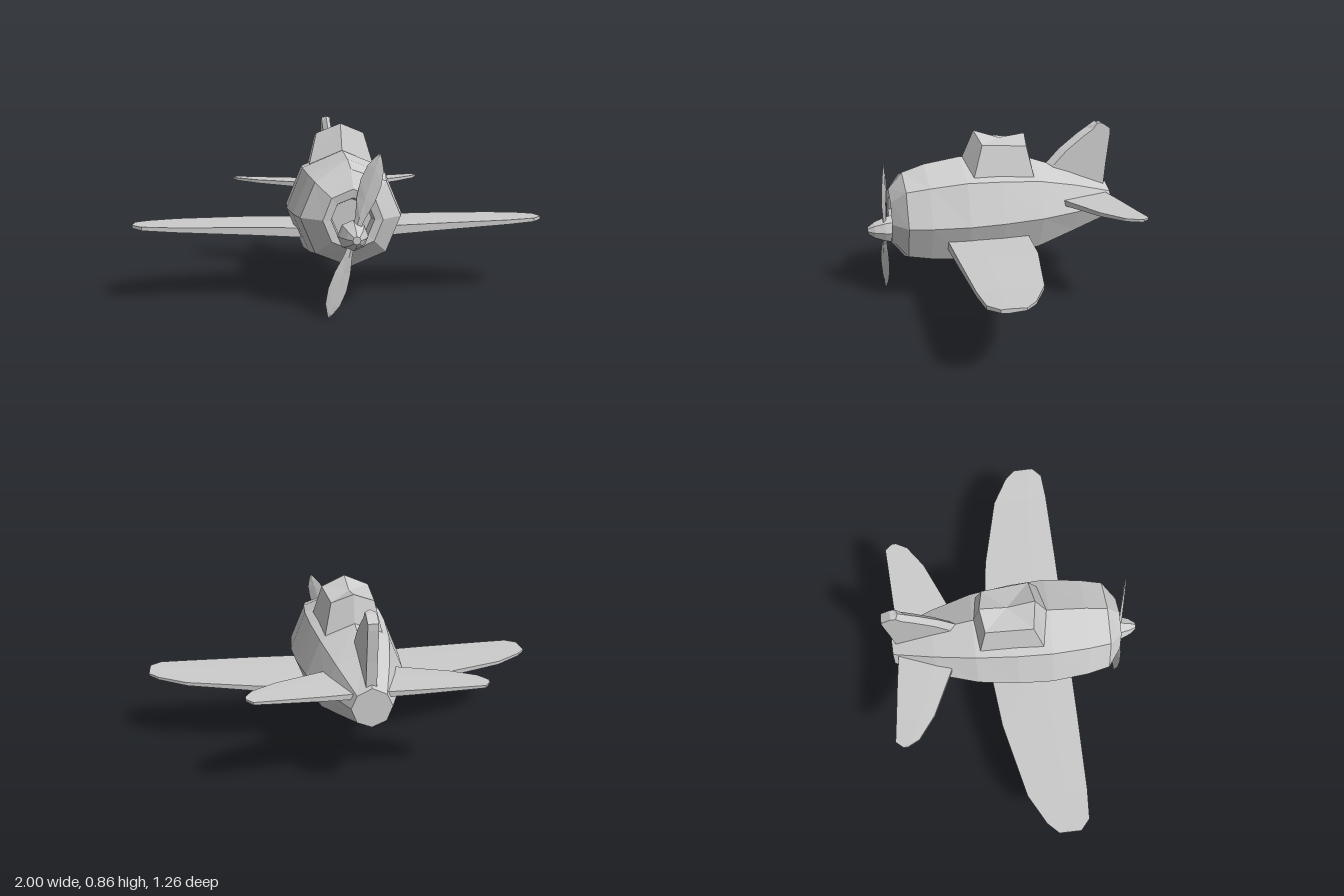
import * as THREE from 'three';

const material = new THREE.MeshStandardMaterial({ color: 0xcccccc, flatShading: true });

// Skins a row of equal-length point rings and closes both ends with fans
function loft(name, rings) {
  const pos = [];
  const n = rings[0].length;
  const tri = (a, b, c) => pos.push(...a, ...b, ...c);
  for (let i = 0; i < rings.length - 1; i++) {
    for (let j = 0; j < n; j++) {
      const k = (j + 1) % n;
      const a = rings[i][j], b = rings[i][k], c = rings[i + 1][k], d = rings[i + 1][j];
      tri(a, b, c);
      tri(a, c, d);
    }
  }
  const cap = (ring, flip) => {
    const mid = [0, 1, 2].map((q) => ring.reduce((s, p) => s + p[q], 0) / n);
    ring.forEach((p, j) => {
      const r = ring[(j + 1) % n];
      if (flip) tri(mid, r, p);
      else tri(mid, p, r);
    });
  };
  cap(rings[0], true);
  cap(rings[rings.length - 1], false);

  // A negative enclosed volume means the faces point inward: swap two corners
  let volume = 0;
  const v = [0, 3, 6].map(() => new THREE.Vector3());
  for (let i = 0; i < pos.length; i += 9) {
    v.forEach((p, k) => p.fromArray(pos, i + k * 3));
    volume += v[0].dot(v[1].clone().cross(v[2]));
  }
  if (volume < 0) {
    for (let i = 0; i < pos.length; i += 9) {
      for (let q = 3; q < 6; q++) [pos[i + q], pos[i + q + 3]] = [pos[i + q + 3], pos[i + q]];
    }
  }
  const geometry = new THREE.BufferGeometry();
  geometry.setAttribute('position', new THREE.Float32BufferAttribute(pos, 3));
  geometry.computeVertexNormals();
  const mesh = new THREE.Mesh(geometry, material);
  mesh.name = name;
  return mesh;
}

// Eight-sided body section with points at top, bottom and both sides
function bodyRing([z, top, shoulder, mid, low, bottom, w, sw]) {
  return [[0, top, z], [sw, shoulder, z], [w, mid, z], [sw, low, z],
    [0, bottom, z], [-sw, low, z], [-w, mid, z], [-sw, shoulder, z]];
}

// Flat lifting surface; each station is [x, zFront, zBack, yTop, yBottom]
function surface(name, side, stations, belly) {
  return loft(name, stations.map(([x, zf, zb, top, bot]) => {
    const X = x * side, zm = zf + (zb - zf) * 0.35, t = (top - bot) * belly;
    return [[X, top, zf], [X, top, zm], [X, top - t, zb],
      [X, bot + t, zb], [X, bot, zm], [X, bot + t, zf]];
  }));
}

export function createModel() {
  const model = new THREE.Group();
  model.name = 'airplane';

  // Fuselage, starting with the recessed air intake in the nose
  const sections = [
    [0.47, 0.525, 0.50, 0.437, 0.375, 0.35, 0.09, 0.063],
    [0.515, 0.535, 0.508, 0.437, 0.368, 0.34, 0.098, 0.069],
    [0.52, 0.575, 0.535, 0.437, 0.34, 0.30, 0.135, 0.096],
    [0.45, 0.655, 0.60, 0.44, 0.275, 0.21, 0.23, 0.162],
    [0.34, 0.69, 0.617, 0.44, 0.26, 0.185, 0.255, 0.18],
    [0.16, 0.717, 0.635, 0.44, 0.245, 0.165, 0.273, 0.195],
    [-0.01, 0.708, 0.628, 0.44, 0.25, 0.175, 0.265, 0.188],
    [-0.21, 0.683, 0.61, 0.44, 0.27, 0.20, 0.238, 0.167],
    [-0.41, 0.613, 0.563, 0.44, 0.322, 0.255, 0.178, 0.124],
    [-0.62, 0.53, 0.498, 0.44, 0.372, 0.345, 0.093, 0.066],
  ];
  model.add(loft('fuselage', sections.map(bodyRing)));

  // Canopy with a ridged roof
  const canopyRing = (fy, fz, sx, sy, sz, rx, ry, rz, by, bz) =>
    [[0, fy, fz], [sx, sy, sz], [rx, ry, rz], [0, by, bz], [-rx, ry, rz], [-sx, sy, sz]];
  model.add(loft('canopy', [
    canopyRing(0.69, 0.16, 0.165, 0.62, 0.13, 0.145, 0.60, -0.19, 0.65, -0.21),
    canopyRing(0.845, 0.09, 0.118, 0.797, 0.072, 0.105, 0.777, -0.152, 0.818, -0.17),
  ]));

  // Main wings and tailplanes
  const wing = [
    [0.15, 0.265, -0.148, 0.358, 0.298],
    [0.45, 0.264, -0.115, 0.366, 0.321],
    [0.81, 0.26, -0.03, 0.373, 0.345],
    [0.95, 0.25, 0.048, 0.378, 0.356],
    [1.0, 0.205, 0.10, 0.38, 0.361],
  ];
  const tail = [
    [0.05, -0.28, -0.59, 0.502, 0.465],
    [0.2, -0.345, -0.605, 0.505, 0.474],
    [0.4, -0.435, -0.62, 0.509, 0.487],
    [0.51, -0.515, -0.629, 0.512, 0.495],
    [0.54, -0.572, -0.593, 0.513, 0.499],
  ];
  for (const [label, side] of [['left', 1], ['right', -1]]) {
    model.add(surface(label + 'Wing', side, wing, 0.2));
    model.add(surface(label + 'Tailplane', side, tail, 0.15));
  }

  // Tail fin with a ridged leading edge; stations are [y, zFront, zBack]
  const fin = [[0.48, -0.22, -0.595], [0.655, -0.29, -0.608], [0.725, -0.355, -0.615],
    [0.80, -0.45, -0.622], [0.83, -0.495, -0.622], [0.86, -0.54, -0.575]];
  model.add(loft('tailFin', fin.map(([y, zf, zb], i) => {
    const h = 0.024, zs = zf - (i === fin.length - 1 ? 0.01 : 0.035);
    return [[0, y, zf], [h, y - 0.008, zs], [h, y - 0.008, zb],
      [-h, y - 0.008, zb], [-h, y - 0.008, zs]];
  })));

  // Propeller: faceted spinner and two pitched, leaf-shaped blades
  const propeller = new THREE.Group();
  propeller.name = 'propeller';
  propeller.position.set(0, 0.366, 0);
  const profile = [[0, 0.46], [0.05, 0.46], [0.07, 0.515], [0.064, 0.545], [0.043, 0.597], [0.018, 0.63], [0, 0.63]];
  const spinner = new THREE.Mesh(
    new THREE.LatheGeometry(profile.map(([r, z]) => new THREE.Vector2(r, z)), 8), material);
  spinner.name = 'spinner';
  spinner.rotation.x = Math.PI / 2;
  propeller.add(spinner);

  // Blade stations are [distance from hub, half width, half thickness]
  const blade = [[0.02, 0.016, 0.009], [0.09, 0.023, 0.009], [0.17, 0.042, 0.008],
    [0.25, 0.048, 0.007], [0.32, 0.037, 0.006], [0.365, 0.014, 0.004], [0.381, 0.004, 0.002]];
  for (let i = 0; i < 2; i++) {
    const mesh = loft('blade', blade.map(([y, w, t]) => {
      const a = 0.5 - y * 0.6, c = Math.cos(a), s = Math.sin(a);
      return [[w, 0], [0, t], [-w, 0], [0, -t]].map(([x, z]) => [x * c - z * s, y, x * s + z * c]);
    }));
    mesh.position.z = 0.546;
    mesh.rotation.z = -0.3 + i * Math.PI;
    propeller.add(mesh);
  }
  model.add(propeller);
  return model;
}
